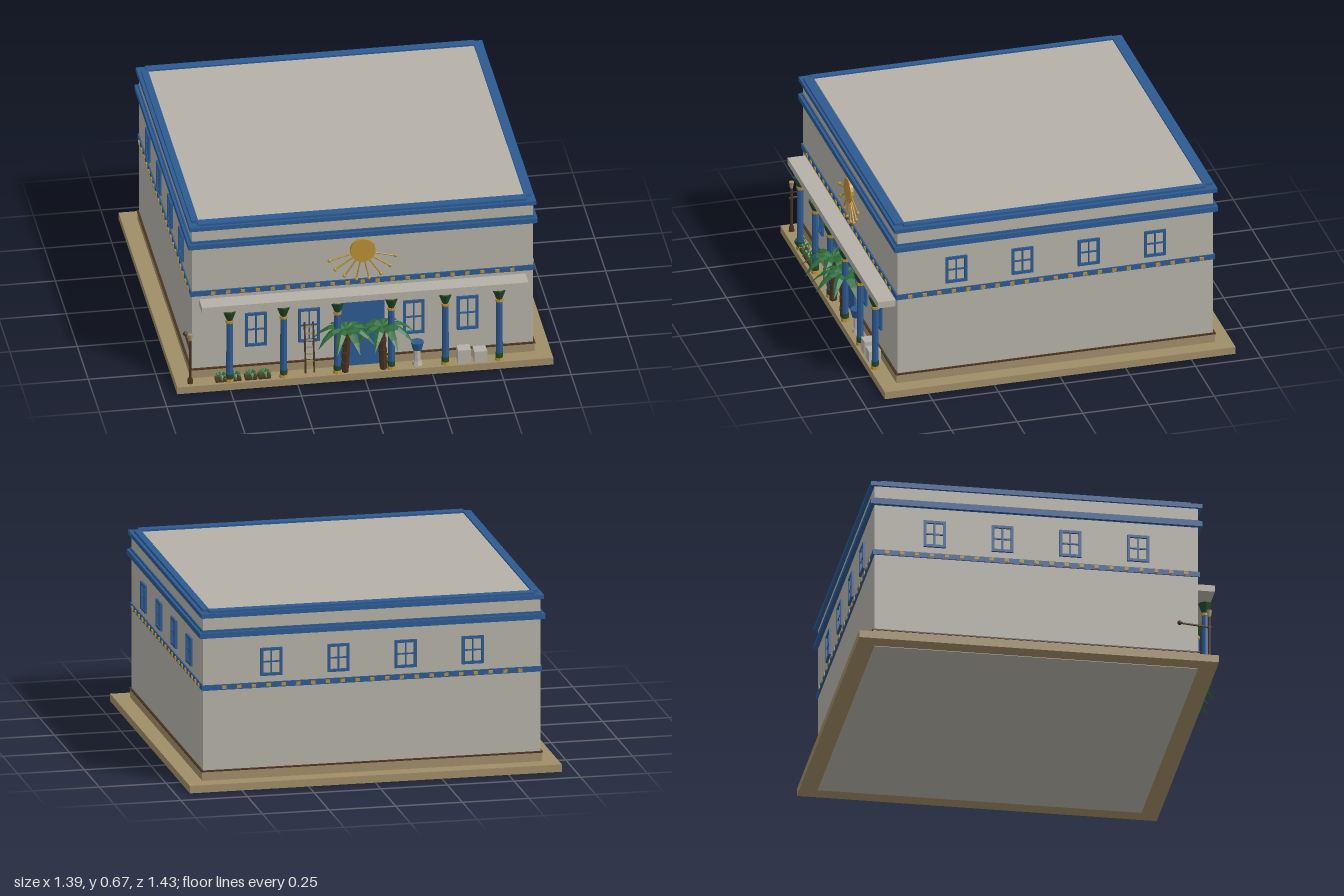
import * as THREE from 'three';

const mat = (name, color) => {
  const m = new THREE.MeshStandardMaterial({ color, flatShading: true });
  m.name = name;
  return m;
};

export function createModel() {
  const stone = mat('stone', 0xb5b1a7);
  const sand = mat('sand', 0xa08d67);
  const blue = mat('blue', 0x2c5a92);
  const gold = mat('gold', 0xb98f35);
  const wood = mat('wood', 0x4a3420);
  const green = mat('leafGreen', 0x2c6a38);
  green.side = THREE.DoubleSide;
  const darkGreen = mat('darkGreen', 0x1f4a2a);

  const model = new THREE.Group();
  model.name = 'building';
  const group = (name, x = 0, y = 0, z = 0, parent = model) => {
    const g = new THREE.Group();
    g.name = name;
    g.position.set(x, y, z);
    parent.add(g);
    return g;
  };
  const add = (name, geo, m, x, y, z, parent = model) => {
    const mesh = new THREE.Mesh(geo, m);
    mesh.name = name;
    mesh.position.set(x, y, z);
    parent.add(mesh);
    return mesh;
  };
  const box = (name, m, w, h, d, x, y, z, parent) =>
    add(name, new THREE.BoxGeometry(w, h, d), m, x, y, z, parent);
  const cyl = (name, m, rTop, rBottom, h, x, y, z, parent, n = 8) =>
    add(name, new THREE.CylinderGeometry(rTop, rBottom, h, n), m, x, y, z, parent);
  // A rod between two points
  const rod = (name, m, a, b, r, parent) => {
    const dir = b.clone().sub(a);
    const mid = a.clone().add(b).multiplyScalar(0.5);
    const mesh = cyl(name, m, r, r, dir.length(), mid.x, mid.y, mid.z, parent, 6);
    mesh.quaternion.setFromUnitVectors(new THREE.Vector3(0, 1, 0), dir.normalize());
    return mesh;
  };
  const v = (x, y, z) => new THREE.Vector3(x, y, z);

  // Ground slab, walls and plinth
  box('groundSlab', sand, 1.395, 0.028, 1.335, 0, 0.016, 0);
  box('walls', stone, 1.265, 0.652, 1.2, 0, 0.326, 0);
  box('plinth', sand, 1.275, 0.037, 1.212, 0, 0.0485, 0);
  box('plinthCap', wood, 1.28, 0.005, 1.217, 0, 0.065, 0);
  box('roof', stone, 1.21, 0.018, 1.14, 0, 0.656, -0.005);

  // Blue bands: dotted middle band, cornice and roof rim
  box('middleBand', blue, 1.275, 0.02, 1.212, 0, 0.38, 0);
  box('cornice', blue, 1.295, 0.02, 1.23, 0, 0.58, 0);
  box('corniceLip', blue, 1.275, 0.01, 1.21, 0, 0.593, 0);
  const rim = group('roofRim');
  for (const s of [-1, 1]) {
    box('rimLong', blue, 1.285, 0.016, 0.045, 0, 0.654, s * 0.592, rim);
    box('rimSide', blue, 0.04, 0.016, 1.21, s * 0.622, 0.654, 0, rim);
    box('rimTopLong', blue, 1.22, 0.01, 0.035, 0, 0.666, s * 0.588, rim);
    box('rimTopSide', blue, 0.025, 0.01, 1.15, s * 0.617, 0.666, 0, rim);
  }

  // A framed window with a cross, facing +z
  const makeWindow = (parent, x, y, w, h) => {
    const g = group('window', x, y, 0, parent);
    const t = 0.01;
    for (const s of [-1, 1]) {
      box('frameSide', blue, t, h, 0.012, s * (w - t) / 2, 0, 0, g);
      box('frameRail', blue, w, t, 0.012, 0, s * (h - t) / 2, 0, g);
    }
    box('mullion', blue, 0.005, h, 0.008, 0, 0, 0, g);
    box('crossbar', blue, w, 0.005, 0.008, 0, 0, 0, g);
  };

  // Four sides: gold studs everywhere, upper windows except on the front
  ['front', 'leftSide', 'back', 'rightSide'].forEach((name, i) => {
    const side = group(name);
    side.rotation.y = i * Math.PI / 2;
    const face = group('face', 0, 0, i % 2 ? 0.6345 : 0.602, side);
    for (let k = -10; k <= 10; k++)
      box('stud', gold, 0.016, 0.012, 0.01, k * 0.0555, 0.38, 0.003, face);
    if (i > 0)
      for (const x of [-0.378, -0.126, 0.126, 0.378]) makeWindow(face, x, 0.467, 0.082, 0.105);
    else
      for (const x of [-0.395, -0.198, 0.19, 0.39]) makeWindow(face, x, 0.213, 0.08, 0.138);
  });
  box('door', blue, 0.16, 0.265, 0.012, 0, 0.165, 0.603);

  // Sun with fanned rays
  const sun = group('sun', 0, 0.51, 0.606);
  cyl('sunDisc', gold, 0.047, 0.047, 0.012, 0, 0, 0, sun, 20).rotation.x = Math.PI / 2;
  for (let i = 0; i < 8; i++) {
    const a = -Math.PI * (0.09 + 0.82 * i / 7);
    const c = Math.cos(a), s = Math.sin(a);
    rod('ray', gold, v(c * 0.045, s * 0.045, 0), v(c * 0.128, s * 0.12, 0), 0.003, sun);
    add('rayTip', new THREE.SphereGeometry(0.007, 8, 6), gold, c * 0.128, s * 0.12, 0, sun);
  }

  // Porch roof on six columns
  box('porchRoof', stone, 1.21, 0.025, 0.075, 0, 0.342, 0.63);
  for (let i = 0; i < 6; i++) {
    const col = group('column', -0.5 + i * 0.2, 0, 0.648);
    cyl('columnFoot', gold, 0.015, 0.017, 0.012, 0, 0.036, 0, col);
    cyl('columnBase', darkGreen, 0.014, 0.014, 0.02, 0, 0.052, 0, col);
    cyl('shaft', blue, 0.012, 0.013, 0.225, 0, 0.17, 0, col);
    cyl('collar', gold, 0.015, 0.015, 0.01, 0, 0.281, 0, col);
    cyl('capital', darkGreen, 0.026, 0.011, 0.04, 0, 0.305, 0, col);
    cyl('capitalTop', gold, 0.018, 0.018, 0.006, 0, 0.327, 0, col);
  }

  // Drooping leaf: a folded strip running along +x
  const leafGeometry = (len, width, rise, drop) => {
    const p = [], idx = [], n = 4;
    for (let i = 0; i <= n; i++) {
      const t = i / n;
      const y = rise * Math.sin(t * Math.PI) - drop * t * t;
      const w = width * Math.sin(Math.PI * (0.12 + 0.88 * t));
      p.push(t * len, y - w * 0.4, -w, t * len, y, 0, t * len, y - w * 0.4, w);
      if (i < n) for (let j = 0; j < 2; j++) {
        const a = i * 3 + j;
        idx.push(a, a + 1, a + 3, a + 1, a + 4, a + 3);
      }
    }
    const g = new THREE.BufferGeometry();
    g.setAttribute('position', new THREE.Float32BufferAttribute(p, 3));
    g.setIndex(idx);
    g.computeVertexNormals();
    return g;
  };

  // Two palms before the door
  const frond = leafGeometry(0.125, 0.017, 0.022, 0.05);
  for (const s of [-1, 1]) {
    const palm = group('palm', s * 0.07, 0.03, 0.645);
    for (let k = 0; k < 4; k++)
      cyl('trunk', wood, 0.017, 0.013, 0.043, s * (0.001 - k * 0.002), 0.02 + k * 0.042, 0, palm, 7);
    for (let k = 0; k < 9; k++)
      add('frond', frond, green, 0, 0.178, 0, palm).rotation.y = k * Math.PI * 2 / 9 + 0.12;
  }

  // Ladder leaning on the wall
  const ladder = group('ladder', -0.2, 0.03, 0.635);
  ladder.rotation.x = -0.13;
  for (const s of [-1, 1]) box('rail', wood, 0.006, 0.2, 0.006, s * 0.016, 0.1, 0, ladder);
  for (let k = 0; k < 7; k++) box('rung', sand, 0.03, 0.006, 0.005, 0, 0.02 + k * 0.027, 0, ladder);

  // Basin on a pedestal
  const basin = group('basin', 0.198, 0.03, 0.632);
  cyl('basinFoot', stone, 0.016, 0.02, 0.015, 0, 0.0075, 0, basin);
  cyl('pedestal', stone, 0.013, 0.013, 0.05, 0, 0.04, 0, basin);
  cyl('bowl', blue, 0.025, 0.017, 0.032, 0, 0.078, 0, basin, 10);

  // Stone blocks
  box('largeBlock', stone, 0.048, 0.055, 0.045, 0.37, 0.0575, 0.635);
  box('smallBlock', stone, 0.048, 0.045, 0.045, 0.43, 0.0525, 0.635);

  // Low plants
  const blade = leafGeometry(0.028, 0.007, 0.02, 0.004);
  for (const x of [-0.53, -0.48, -0.42, -0.37]) {
    const plant = group('plant', x, 0.03, 0.638);
    box('soil', wood, 0.045, 0.01, 0.035, 0, 0.005, 0, plant);
    for (let k = 0; k < 6; k++)
      add('blade', blade, green, 0, 0.01, 0, plant).rotation.y = k * Math.PI / 3 + x;
  }

  // Post with an arm at the front corner
  const post = group('cornerPost', -0.645, 0.03, 0.64);
  cyl('postFoot', wood, 0.009, 0.011, 0.02, 0, 0.01, 0, post);
  cyl('pole', wood, 0.005, 0.005, 0.17, 0, 0.09, 0, post);
  cyl('postHead', sand, 0.01, 0.006, 0.025, 0, 0.19, 0, post);
  rod('arm', wood, v(0, 0.135, 0.01), v(0, 0.145, -0.11), 0.004, post);
  add('armKnob', new THREE.SphereGeometry(0.009, 8, 6), wood, 0, 0.145, -0.11, post);

  return model;
}
